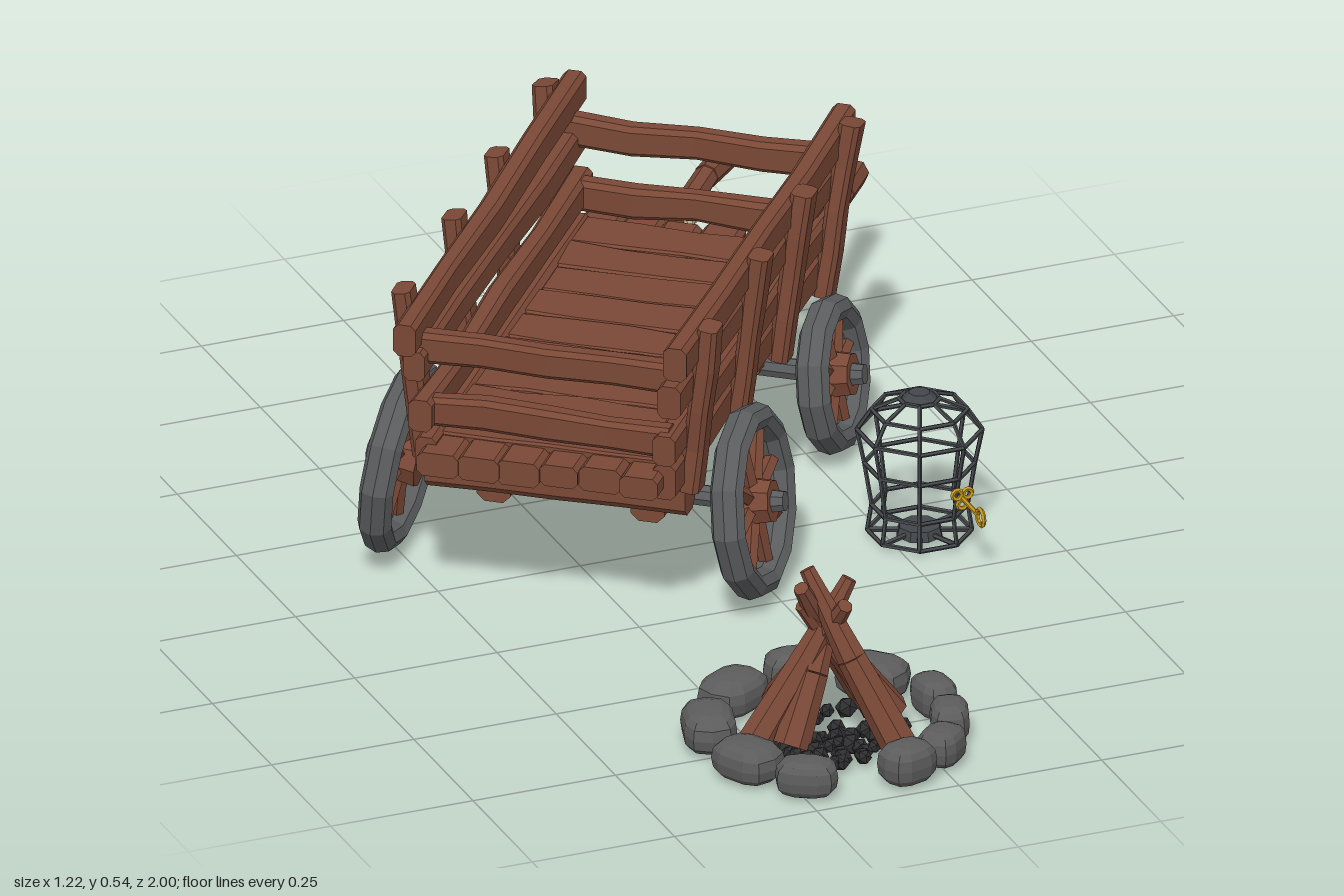
import * as THREE from 'three';

const mat = (name, color) => Object.assign(new THREE.MeshStandardMaterial({ color, flatShading: true }), { name });
const wood = mat('wood', 0x7a4836);
const tyreGrey = mat('tyre grey', 0x5a5c5e);
const stoneGrey = mat('stone grey', 0x5c5c5c);
const iron = mat('dark iron', 0x43464a);
const coal = mat('charcoal', 0x2e2e30);
const ropeMat = mat('rope', 0xcabf98);
const gold = mat('gold', 0xc79a1c);

let seed = 7;
const rand = () => (seed = (seed * 16807) % 2147483647) / 2147483647;
const jit = (s) => (rand() - 0.5) * 2 * s;
const V = (x, y, z) => new THREE.Vector3(x, y, z);
const UP = V(0, 1, 0), ALONG = V(1, 0, 0);

function add(parent, name, geo, material, x = 0, y = 0, z = 0) {
  const m = new THREE.Mesh(geo, material);
  m.name = name;
  m.position.set(x, y, z);
  parent.add(m);
  return m;
}

// Rough-hewn plank with chamfered edges from a to b: h is its size along "up", t across
function plank(parent, name, a, b, h, t, up = UP, wobble = 0.005) {
  const dir = b.clone().sub(a), len = dir.length(), n = 4, c = Math.min(h, t) * 0.22;
  const geo = new THREE.CylinderGeometry(1, 1, len, 8, n, false, Math.PI / 8).rotateZ(-Math.PI / 2);
  const p = geo.attributes.position;
  const st = Array.from({ length: n + 1 }, () => [jit(wobble), jit(wobble * 0.4), 1 + jit(0.08)]);
  // Octagon corner to chamfered rectangle corner
  const side = (v, half) => Math.abs(v) < 0.01 ? 0 : Math.sign(v) * (Math.abs(v) > 0.6 ? half : half - c);
  for (let i = 0; i < p.count; i++) {
    const [dy, dz, s] = st[Math.round((p.getX(i) / len + 0.5) * n)];
    p.setY(i, side(p.getY(i), h / 2) * s + dy);
    p.setZ(i, side(p.getZ(i), t / 2) * s + dz);
  }
  geo.computeVertexNormals();
  const m = add(parent, name, geo, wood);
  dir.normalize();
  const z = dir.clone().cross(up).normalize(), y = z.clone().cross(dir);
  m.quaternion.setFromRotationMatrix(new THREE.Matrix4().makeBasis(dir, y, z));
  m.position.copy(a).add(b).multiplyScalar(0.5);
  return m;
}

// Round bar from a to b
function rod(parent, name, a, b, r1, r2, material, sides = 6) {
  const dir = b.clone().sub(a);
  const m = add(parent, name, new THREE.CylinderGeometry(r2, r1, dir.length(), sides), material);
  m.quaternion.setFromUnitVectors(UP, dir.normalize());
  m.position.copy(a).add(b).multiplyScalar(0.5);
  return m;
}

// Spoked wheel, axle along z, outer side facing s
function wheel(parent, name, x, z, R, s) {
  const g = new THREE.Group();
  g.name = name;
  g.position.set(x, R + 0.01, z);
  g.rotation.x = -s * 0.13;
  parent.add(g);
  const rim = add(g, 'tyre', new THREE.TorusGeometry(R - 0.021, 0.023, 8, 12), tyreGrey);
  rim.scale.z = 1.25;
  rod(g, 'hub', V(0, 0, -s * 0.035), V(0, 0, s * 0.035), 0.045, 0.036, wood, 8);
  rod(g, 'hubCap', V(0, 0, s * 0.03), V(0, 0, s * 0.055), 0.02, 0.017, tyreGrey, 8);
  for (let i = 0; i < 8; i++) {
    const a = i * Math.PI / 4 + 0.2, c = Math.cos(a), q = Math.sin(a);
    rod(g, 'spoke', V(c * 0.03, q * 0.03, 0), V(c * (R - 0.025), q * (R - 0.025), 0), 0.014, 0.012, wood, 5);
  }
}

function buildCart() {
  const cart = new THREE.Group();
  cart.name = 'cart';
  const wallW = (y) => 0.2 + (y - 0.28) * 0.12;

  // Lengthwise bearers with uneven ends, decked with crosswise boards
  for (let i = 0; i < 6; i++) {
    const z = -0.168 + i * 0.067;
    plank(cart, 'floorBearer', V(-0.475 + jit(0.015), 0.275, z), V(0.465 + jit(0.02), 0.275, z), 0.04, 0.068, UP, 0.002);
  }
  for (let i = 0; i < 9; i++) {
    const x = -0.376 + i * 0.094;
    plank(cart, 'floorBoard', V(x, 0.294, -0.185), V(x, 0.294, 0.185), 0.018, 0.092, UP, 0.002);
  }
  // Cross beams, axles and axle blocks
  plank(cart, 'crossBeam', V(-0.36, 0.218, -0.22), V(-0.36, 0.218, 0.22), 0.07, 0.06, UP, 0.002);
  plank(cart, 'crossBeam', V(0.36, 0.23, -0.18), V(0.36, 0.23, 0.18), 0.05, 0.05, UP, 0.002);
  for (const [x, y, w] of [[-0.26, 0.168, 0.3], [0.293, 0.14, 0.268]]) {
    rod(cart, 'axle', V(x, y, -w), V(x, y, w), 0.018, 0.018, tyreGrey, 8);
    for (const s of [-1, 1]) plank(cart, 'axleBlock', V(x - 0.04, 0.195, s * 0.13), V(x + 0.04, 0.195, s * 0.13), 0.13, 0.055, UP, 0.002);
  }

  for (const s of [-1, 1]) {
    // Side rails: height, rear end, front end, size
    [[0.275, 0.45, 0.44, 0.06], [0.342, 0.455, 0.465, 0.053], [0.425, 0.465, 0.475, 0.054], [0.497, 0.475, 0.49, 0.056]].forEach(([y, rear, front, h]) => {
      const w = s * wallW(y);
      plank(cart, 'sideRail', V(-rear + jit(0.01), y + jit(0.006), w), V(front + jit(0.01), y + jit(0.006), w), h, 0.038, UP, 0.007);
    });
    // Posts outside the rails
    [[-0.365, -0.375], [-0.1, -0.09], [0.14, 0.155], [0.385, 0.43]].forEach(([x0, x1]) =>
      plank(cart, 'sidePost', V(x0, 0.235, s * (wallW(0.235) + 0.03)), V(x1, 0.53, s * (wallW(0.53) + 0.03)), 0.05, 0.034, ALONG, 0.003));
    // End boards
    for (const y of [0.345, 0.455])
      plank(cart, 'endBoard', V(s * 0.425, y, -wallW(y)), V(s * 0.425, y, wallW(y)), 0.052, 0.036);

    wheel(cart, 'rearWheel', -0.262, s * 0.298, 0.16, s);
    wheel(cart, 'frontWheel', 0.293, s * 0.268, 0.13, s);

    // Pull handle with a rope binding
    const pts = [V(0.26, 0.195, s * 0.16), V(0.48, 0.182, s * 0.144), V(0.72, 0.174, s * 0.12), V(0.86, 0.184, s * 0.115), V(0.956, 0.178, s * 0.109)];
    for (let i = 0; i < 4; i++) rod(cart, 'handle', pts[i], pts[i + 1], 0.021, i === 3 ? 0.023 : 0.02, wood, 7);
    for (let i = -1; i <= 1; i++) {
      const r = add(cart, 'ropeBinding', new THREE.TorusGeometry(0.021, 0.009, 6, 10), ropeMat, 0.722 + i * 0.014, 0.175, s * 0.12);
      r.rotation.y = Math.PI / 2 + i * 0.2;
    }
  }
  cart.position.set(-0.1, 0, -0.18);
  cart.rotation.y = 0.888;
  return cart;
}

function buildLantern() {
  const g = new THREE.Group();
  g.name = 'cageLantern';
  // Wire cage: [radius, height] of each hoop
  const prof = [[0.085, 0.01], [0.078, 0.055], [0.09, 0.13], [0.102, 0.19], [0.078, 0.226], [0.033, 0.245]];
  const at = ([r, y], i) => V(r * Math.cos((i + 0.5) * Math.PI / 4), y, r * Math.sin((i + 0.5) * Math.PI / 4));
  for (let i = 0; i < 8; i++) {
    prof.forEach((p, k) => {
      rod(g, 'cageHoop', at(p, i), at(p, i + 1), 0.004, 0.004, iron, 5);
      if (k) rod(g, 'cageBar', at(prof[k - 1], i), at(p, i), 0.0038, 0.0038, iron, 5);
    });
  }
  add(g, 'cageBase', new THREE.CylinderGeometry(0.035, 0.04, 0.016, 8), iron, 0, 0.011, 0);
  for (let i = 0; i < 4; i++) rod(g, 'baseBar', at(prof[0], i), at(prof[0], i + 4), 0.0045, 0.0045, iron, 5);
  add(g, 'cageCap', new THREE.CylinderGeometry(0.018, 0.033, 0.014, 8), iron, 0, 0.25, 0);
  // Key in the cage: three-lobed bow at the bars, shaft and ring reaching out
  for (const [x, y] of [[-0.009, 0.008], [0.009, 0.008], [0, -0.01]])
    add(g, 'keyLobe', new THREE.TorusGeometry(0.008, 0.004, 5, 10), gold, 0.036 + x, 0.1 + y, 0.094);
  rod(g, 'keyShaft', V(0.036, 0.101, 0.09), V(0.036, 0.1, 0.16), 0.004, 0.004, gold, 6);
  const ring = add(g, 'keyRing', new THREE.TorusGeometry(0.014, 0.004, 5, 10), gold, 0.036, 0.1, 0.172);
  ring.rotation.y = Math.PI / 2;
  g.position.set(0.303, 0, 0.103);
  return g;
}

function buildCampfire() {
  const g = new THREE.Group();
  g.name = 'campfire';
  // Ring of blocky rounded stones: [x, z, half length, half depth]
  [[0.03, -0.195, 0.055, 0.038], [0.137, -0.127, 0.062, 0.047], [0.2, -0.02, 0.047, 0.033], [0.142, 0.153, 0.045, 0.036], [0.063, 0.196, 0.048, 0.039],
    [-0.106, 0.178, 0.052, 0.038], [-0.17, 0.085, 0.06, 0.047], [-0.182, -0.053, 0.066, 0.045], [-0.095, -0.16, 0.062, 0.047], [0.19, 0.07, 0.048, 0.033]
  ].forEach(([x, z, a, b]) => {
    const geo = new THREE.SphereGeometry(1, 10, 8), p = geo.attributes.position;
    const sq = (v) => Math.sign(v) * Math.pow(Math.abs(v), 0.7);
    for (let i = 0; i < p.count; i++) p.setXYZ(i, sq(p.getX(i)), sq(p.getY(i)), sq(p.getZ(i)));
    geo.computeVertexNormals();
    const h = 0.034 + jit(0.002);
    const m = add(g, 'stone', geo, stoneGrey, x, h, z);
    m.scale.set(a, h, b);
    m.rotation.y = -Math.atan2(z, x) + Math.PI / 2;
  });
  // Leaning logs: foot x, foot z, tip x, tip y, tip z
  [[-0.125, 0.01, 0.045, 0.28, -0.005], [-0.03, -0.12, 0.015, 0.26, 0.05], [0.11, -0.07, -0.05, 0.29, 0.02],
    [0.085, 0.11, -0.025, 0.305, -0.015], [-0.08, 0.05, 0.03, 0.24, -0.03], [0.12, -0.01, -0.04, 0.25, 0.0]
  ].forEach(([x, z, tx, ty, tz]) => {
    const foot = V(x, 0.025, z), tip = V(tx, ty, tz), mid = foot.clone().lerp(tip, 0.5).add(V(jit(0.006), 0, jit(0.006)));
    rod(g, 'log', foot, mid, 0.031, 0.025, wood, 7);
    rod(g, 'log', mid, tip, 0.025, 0.013, wood, 7);
  });
  // Charcoal lumps, heaped towards the front
  for (let i = 0; i < 44; i++) {
    const a = i * 2.4, r = 0.02 + 0.11 * Math.sqrt(i / 44), front = i % 2;
    add(g, 'charcoal', new THREE.IcosahedronGeometry(0.016 + jit(0.004), 0), coal,
      r * Math.cos(a) * (front ? 0.6 : 1) - front * 0.03, 0.018, r * Math.sin(a) * (front ? 0.5 : 1) + front * 0.075);
  }
  g.position.set(-0.135, 0, 0.757);
  return g;
}

export function createModel() {
  const model = new THREE.Group();
  model.name = 'campScene';
  model.add(buildCart(), buildLantern(), buildCampfire());
  return model;
}
